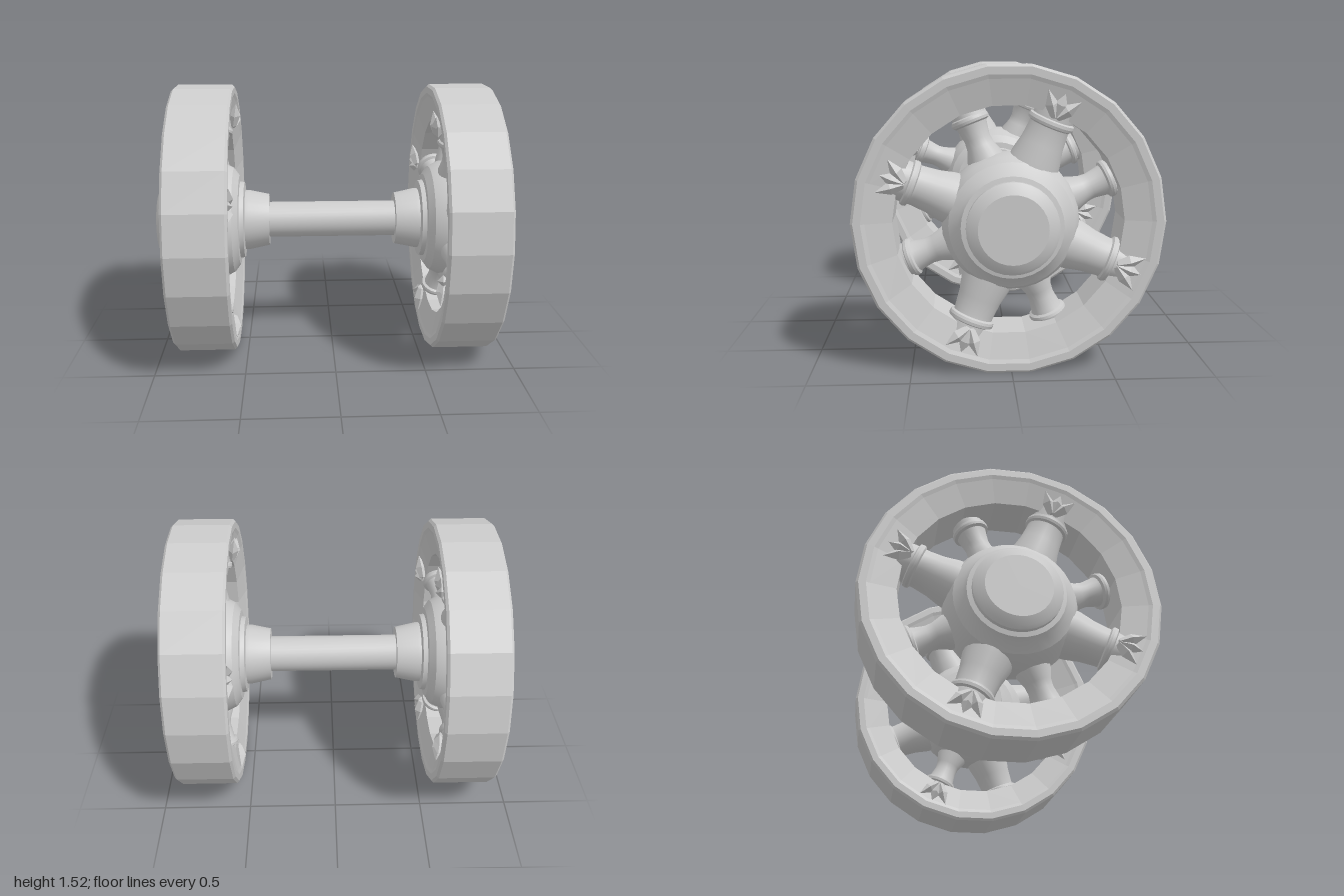
import * as THREE from 'three';
import { toCreasedNormals } from 'three/addons/utils/BufferGeometryUtils.js';

const smooth = new THREE.MeshStandardMaterial({ color: 0xcccccc });
const faceted = new THREE.MeshStandardMaterial({ color: 0xcccccc, flatShading: true });

// Turned part: profile is a list of [radius, height], bottom to top
function turned(name, profile, sides, material = smooth) {
  const points = profile.map(([r, y]) => new THREE.Vector2(r, y));
  let geometry = new THREE.LatheGeometry(points, sides);
  if (material === smooth) geometry = toCreasedNormals(geometry, 0.4);
  const mesh = new THREE.Mesh(geometry, material);
  mesh.name = name;
  return mesh;
}

// Same, with the turning axis laid along x
function turnedX(name, profile, sides, material) {
  const mesh = turned(name, profile, sides, material);
  mesh.geometry.rotateZ(-Math.PI / 2);
  return mesh;
}

// Three pointed prongs gripping the face of the rim, fanned in the wheel plane
function createClaw(side) {
  const claw = new THREE.Group();
  claw.name = 'claw';
  for (const fan of [-0.62, 0, 0.62]) {
    const prong = turned('prong', [[0, 0], [0.02, 0.01], [0.032, 0.075], [0, fan ? 0.15 : 0.13]], 4, faceted);
    prong.geometry.rotateZ(-side * 0.16);
    prong.rotation.x = fan;
    claw.add(prong);
  }
  return claw;
}

const THICK_SPOKE = [[0.14, 0.2], [0.128, 0.34], [0.11, 0.42], [0.102, 0.5], [0.102, 0.515],
  [0.115, 0.522], [0.118, 0.535], [0.115, 0.55], [0.102, 0.556], [0.1, 0.62], [0, 0.63]];
const THIN_SPOKE = [[0.1, 0.2], [0.092, 0.34], [0.07, 0.4], [0.066, 0.44], [0.076, 0.5],
  [0.08, 0.515], [0.095, 0.522], [0.098, 0.535], [0.095, 0.55], [0.085, 0.556], [0.082, 0.62], [0, 0.63]];

// Spoke leaning towards one face of the wheel (side +1 outer, -1 inner)
function createSpoke(side, angle) {
  const spoke = new THREE.Group();
  spoke.name = side > 0 ? 'outerSpoke' : 'innerSpoke';
  const shaft = turned('spokeShaft', side > 0 ? THICK_SPOKE : THIN_SPOKE, 24);
  shaft.rotation.z = -side * 0.09;
  const claw = createClaw(side);
  claw.position.set(side * 0.145, 0.555, 0);
  spoke.add(shaft, claw);
  spoke.rotation.x = angle;
  return spoke;
}

function createWheel() {
  const wheel = new THREE.Group();
  wheel.name = 'wheel';

  // Rim: flat tread, narrow lip, dished faces
  const rim = turnedX('rim', [
    [0.57, -0.125], [0.7, -0.16], [0.72, -0.168], [0.757, -0.168], [0.77, -0.155],
    [0.77, 0.155], [0.757, 0.168], [0.72, 0.168], [0.7, 0.16], [0.57, 0.125], [0.57, -0.125],
  ], 22, faceted);
  rim.position.set(0, 0.014, 0.012);
  wheel.add(rim);

  // Hub: rounded barrel, stepped cap outside, stepped collar inside
  wheel.add(turnedX('hub', [
    [0.1, -0.358], [0.15, -0.358], [0.175, -0.24], [0.175, -0.22], [0.22, -0.215], [0.225, -0.19],
    [0.26, -0.187], [0.305, -0.155], [0.333, -0.1], [0.345, -0.04], [0.345, 0.04],
    [0.333, 0.1], [0.31, 0.15], [0.265, 0.19], [0.25, 0.215], [0.226, 0.22],
    [0.226, 0.245], [0.21, 0.258], [0.17, 0.277], [0, 0.277],
  ], 32));

  // Spokes alternate between the two faces
  for (let i = 0; i < 4; i++) {
    wheel.add(createSpoke(1, -0.38 + i * Math.PI / 2));
    wheel.add(createSpoke(-1, 0.38 + i * Math.PI / 2));
  }
  return wheel;
}

export function createModel() {
  const model = new THREE.Group();
  model.name = 'wheelset';
  const axleHeight = 0.753;

  const axle = turnedX('axle', [[0.103, -0.5], [0.103, 0.5]], 32);
  axle.position.y = axleHeight;
  model.add(axle);

  // The second wheel is the first turned half way round
  for (const side of [1, -1]) {
    const wheel = createWheel();
    wheel.name = side > 0 ? 'leftWheel' : 'rightWheel';
    wheel.position.set(side * 0.723, axleHeight, 0);
    wheel.rotation.y = side > 0 ? 0 : Math.PI;
    model.add(wheel);
  }
  return model;
}
